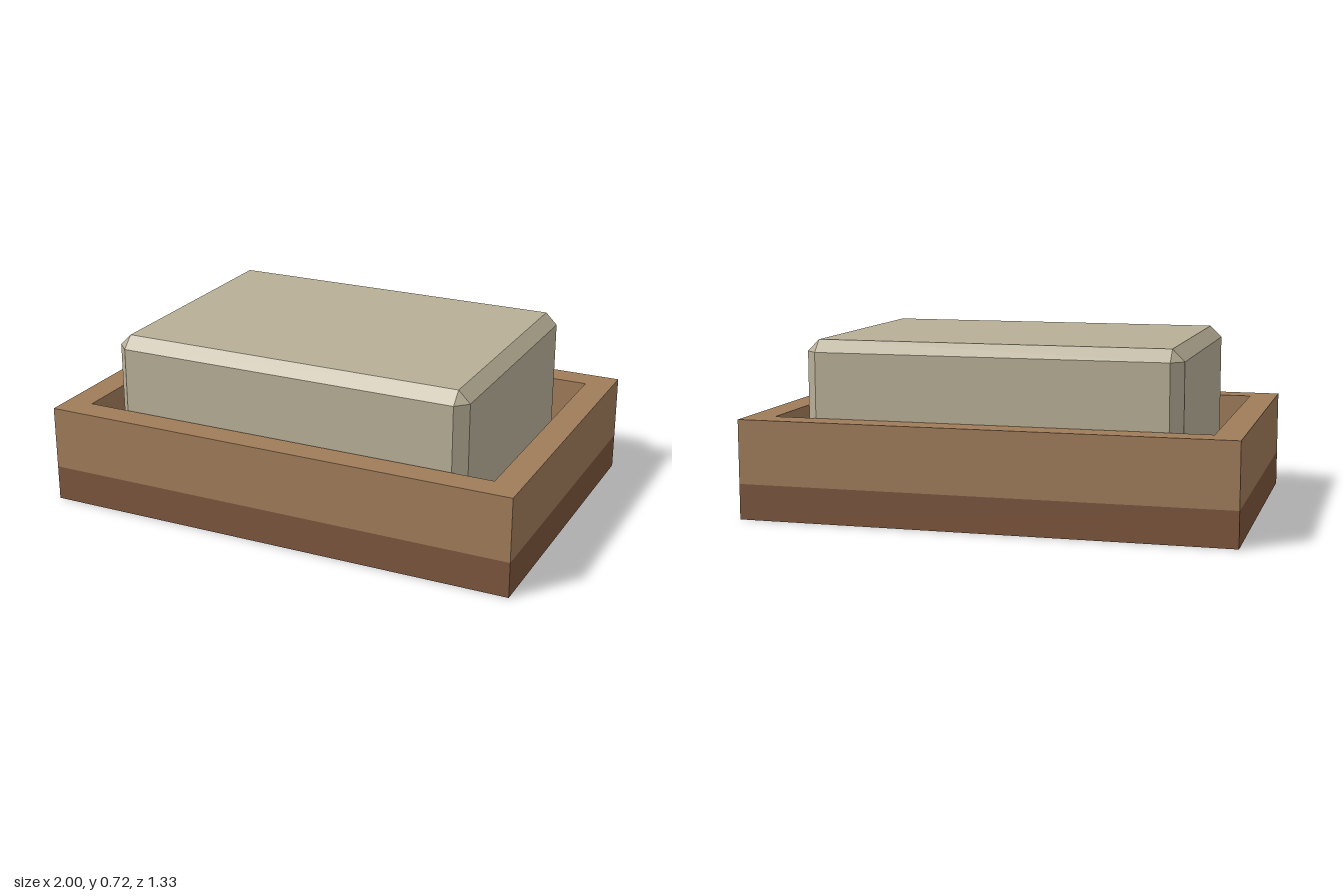
import * as THREE from 'three';
import { ConvexGeometry } from 'three/addons/geometries/ConvexGeometry.js';

const material = (name, color) => {
  const m = new THREE.MeshStandardMaterial({ color });
  m.name = name;
  return m;
};

// Box with every edge cut at 45 degrees: each corner becomes a small triangle
function chamferedBox(w, h, d, c) {
  const points = [];
  for (const x of [-w / 2, w / 2])
    for (const y of [-h / 2, h / 2])
      for (const z of [-d / 2, d / 2]) {
        const [ix, iy, iz] = [x, y, z].map((v) => v - Math.sign(v) * c);
        points.push(
          new THREE.Vector3(x, iy, iz),
          new THREE.Vector3(ix, y, iz),
          new THREE.Vector3(ix, iy, z)
        );
      }
  return new ConvexGeometry(points);
}

// Rectangular frame lying flat, rising from y = 0
function frame(w, d, innerW, innerD, h) {
  const rect = (Type, a, b) =>
    new Type([[-a, -b], [a, -b], [a, b], [-a, b]].map(([x, y]) => new THREE.Vector2(x / 2, y / 2)));
  const shape = rect(THREE.Shape, w, d);
  shape.holes.push(rect(THREE.Path, innerW, innerD));
  return new THREE.ExtrudeGeometry(shape, { depth: h, bevelEnabled: false }).rotateX(-Math.PI / 2);
}

export function createModel() {
  const group = new THREE.Group();
  const wood = material('wood', 0xa07c5a);
  const darkWood = material('darkWood', 0x7b553d);
  const stone = material('stone', 0xb8af97);

  const add = (name, geometry, mat, y) => {
    const mesh = new THREE.Mesh(geometry, mat);
    mesh.name = name;
    mesh.position.y = y;
    group.add(mesh);
  };

  const width = 2, depth = 1.333, baseTop = 0.145, rimTop = 0.406, blockTop = 0.718;

  // Dark slab, also the floor inside the tray
  add('base', new THREE.BoxGeometry(width, baseTop, depth), darkWood, baseTop / 2);
  // Walls around the tray
  add('trayWalls', frame(width, depth, 1.775, 1.11, rimTop - baseTop), wood, baseTop);
  // Chamfered block resting on the floor
  const blockHeight = blockTop - baseTop;
  add('block', chamferedBox(1.525, blockHeight, 1.098, 0.048), stone, baseTop + blockHeight / 2);

  return group;
}
